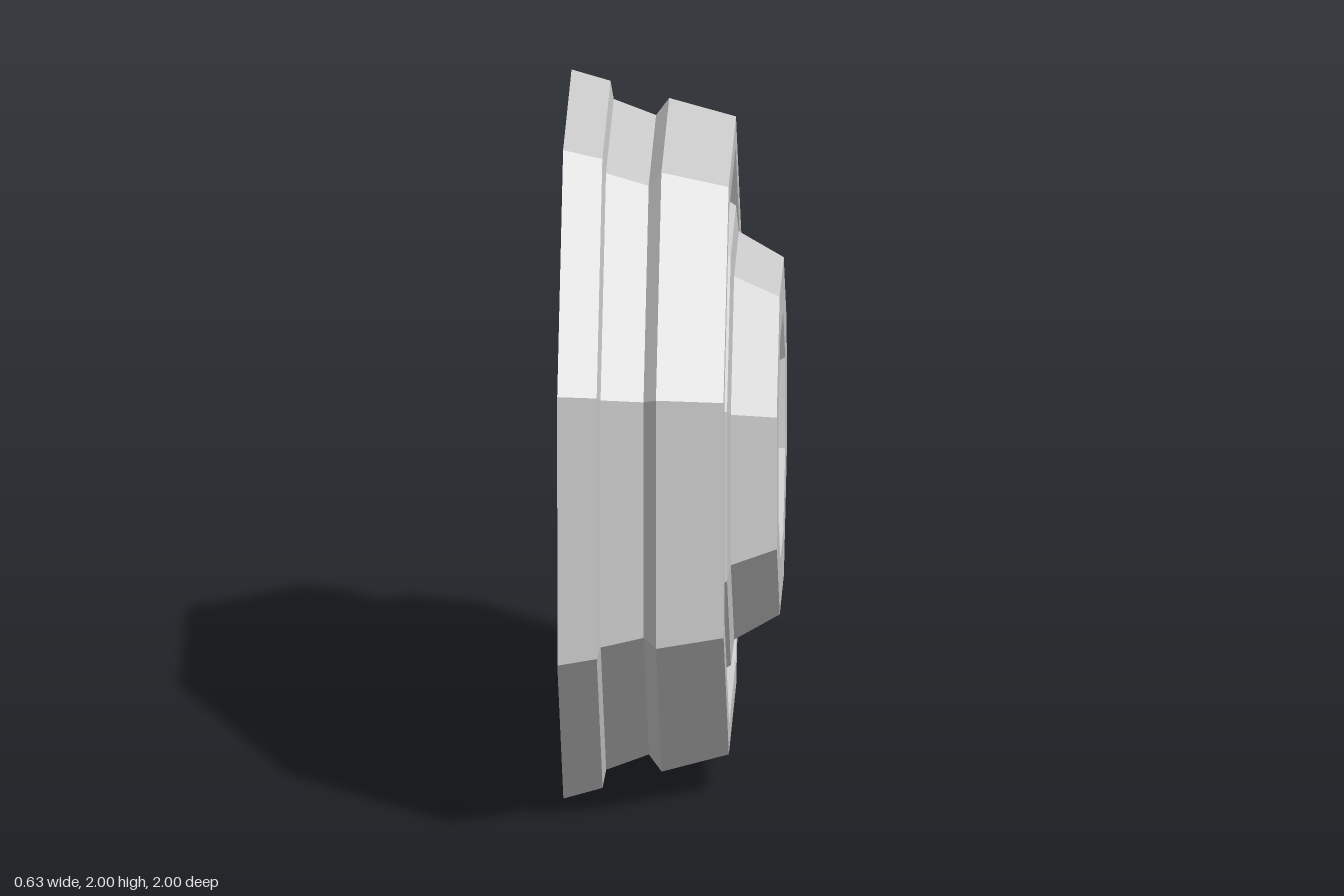
import * as THREE from 'three';

const SIDES = 8;
const TILT = THREE.MathUtils.degToRad(21.75); // corner angle from the top, slightly off a regular stance
const CORNER = 1 / Math.cos(TILT);            // turns profile heights into corner radii

// Octagonal ring turned about the x axis; profile is [x, height above the axis]
function turned(name, profile) {
  const points = profile.map(([x, h]) => new THREE.Vector2(h * CORNER, x));
  const geometry = new THREE.LatheGeometry(points, SIDES, -Math.PI / 2 - TILT, Math.PI * 2);
  geometry.rotateZ(-Math.PI / 2);
  const material = new THREE.MeshStandardMaterial({ color: 0xcccccc, flatShading: true });
  const mesh = new THREE.Mesh(geometry, material);
  mesh.name = name;
  return mesh;
}

export function createModel() {
  const wheel = new THREE.Group();
  wheel.name = 'wheel';

  // Flat back and wide inner flange
  wheel.add(turned('backFlange', [[-0.315, 0], [-0.315, 1], [-0.2, 0.97], [-0.19, 0.92]]));

  // Tread with a groove, and the front lip
  wheel.add(turned('tread', [[-0.19, 0.92], [-0.065, 0.877], [-0.027, 0.924], [0.17, 0.875], [0.17, 0.79]]));

  // Recess between the lip and the hub
  wheel.add(turned('recess', [[0.17, 0.79], [0.09, 0.72], [0.09, 0.68]]));

  // Stepped hub with a sunken centre
  wheel.add(turned('hub', [
    [0.09, 0.68], [0.173, 0.63], [0.182, 0.56], [0.315, 0.49], [0.315, 0.34], [0.24, 0.27], [0.24, 0],
  ]));

  wheel.position.y = 1;
  const model = new THREE.Group();
  model.name = 'octagonalWheel';
  model.add(wheel);
  return model;
}
